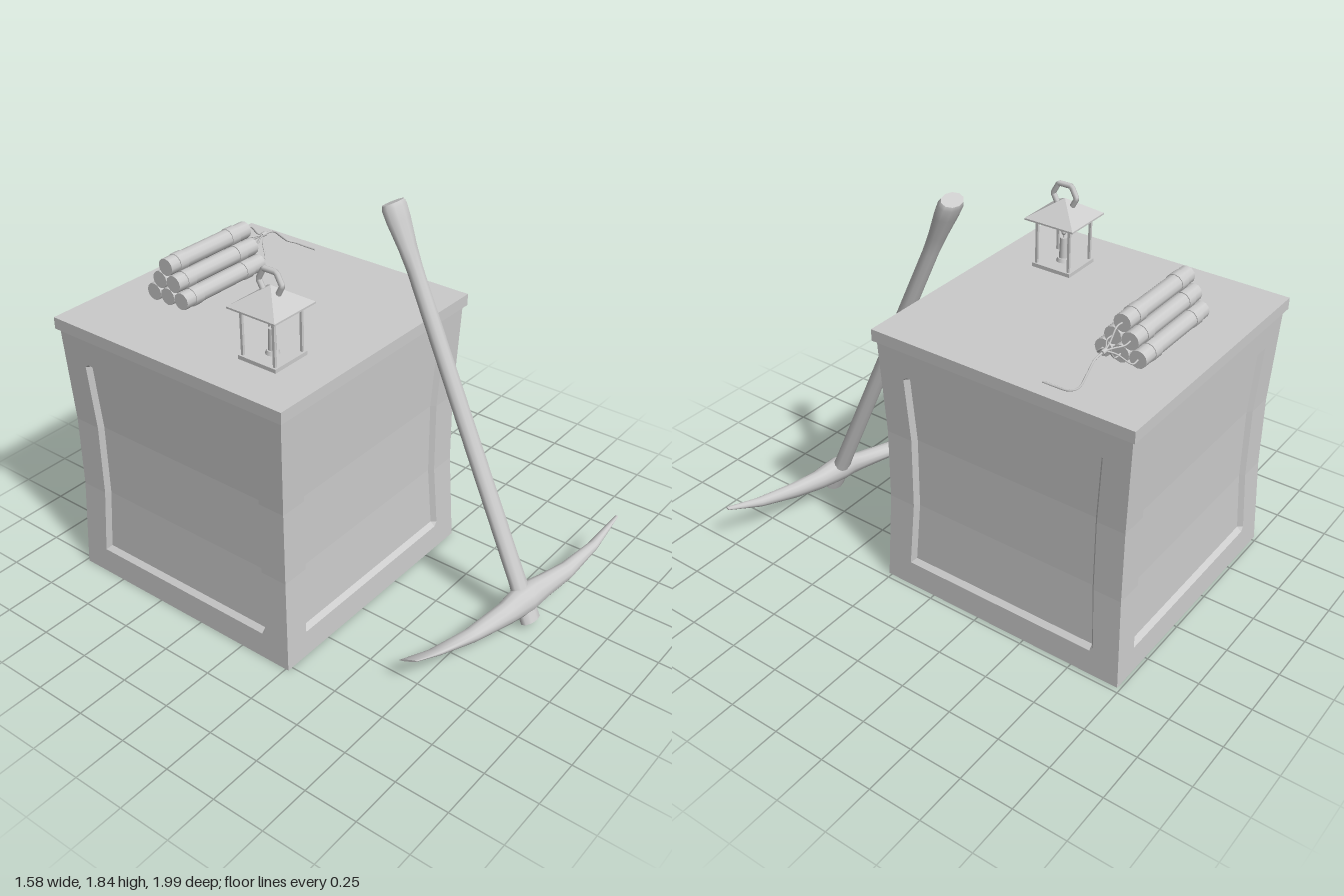
import * as THREE from 'three';

const grey = new THREE.MeshStandardMaterial({ color: 0xcccccc });
const flat = new THREE.MeshStandardMaterial({ color: 0xcccccc, flatShading: true });
const both = new THREE.MeshStandardMaterial({ color: 0xcccccc, flatShading: true, side: THREE.DoubleSide });
const V = (x, y, z) => new THREE.Vector3(x, y, z);

function add(parent, name, geo, mat, x = 0, y = 0, z = 0) {
  const m = new THREE.Mesh(geo, mat);
  m.name = name;
  m.position.set(x, y, z);
  parent.add(m);
  return m;
}

function group(parent, name, x = 0, y = 0, z = 0) {
  const g = new THREE.Group();
  g.name = name;
  g.position.set(x, y, z);
  parent.add(g);
  return g;
}

function buffer(pos, idx) {
  const g = new THREE.BufferGeometry();
  g.setAttribute('position', new THREE.Float32BufferAttribute(pos, 3));
  g.setIndex(idx);
  g.computeVertexNormals();
  return g;
}

// Skin over elliptical rings [centre, radius along u, radius along v], closed at both ends
function loft(rings, u, v, sides) {
  const pos = [], idx = [];
  const ring = ([c, ru, rv]) => {
    for (let j = 0; j < sides; j++) {
      const a = ((j + 0.5) / sides) * Math.PI * 2;
      const p = c.clone().addScaledVector(u, ru * Math.cos(a)).addScaledVector(v, rv * Math.sin(a));
      pos.push(p.x, p.y, p.z);
    }
  };
  rings.forEach(ring);
  for (let i = 0; i < rings.length - 1; i++) {
    for (let j = 0; j < sides; j++) {
      const a = i * sides + j, b = i * sides + (j + 1) % sides;
      idx.push(a, b, b + sides, a, b + sides, a + sides);
    }
  }
  [rings[0], rings[rings.length - 1]].forEach((r, end) => {
    const s = pos.length / 3;
    ring(r);
    pos.push(r[0].x, r[0].y, r[0].z);
    for (let j = 0; j < sides; j++) {
      const a = s + j, b = s + (j + 1) % sides;
      if (end) idx.push(a, b, s + sides);
      else idx.push(b, a, s + sides);
    }
  });
  return buffer(pos, idx);
}

// One crate side: a waisted frame around a recessed panel
function crateSide() {
  const ys = [0, 0.125, 0.145, 0.22, 0.32, 0.45, 0.8, 0.93, 1.03, 1.11, 1.125, 1.26];
  const pos = [], idx = [], cols = 6;
  ys.forEach((y, r) => {
    const t = Math.min(1, Math.max(0, (Math.abs(y - 0.63) - 0.17) / 0.46));
    const w = 0.606 + 0.019 * t;
    const a = 0.474 + 0.022 * Math.min(1, t * 1.3);
    const sunk = r > 1 && r < ys.length - 2;
    [-w, -a, -a + 0.018, a - 0.018, a, w].forEach((x, c) => {
      pos.push(x, y, sunk && (c === 2 || c === 3) ? w - 0.022 : w);
    });
  });
  for (let r = 0; r < ys.length - 1; r++) {
    for (let c = 0; c < cols - 1; c++) {
      const i = r * cols + c;
      idx.push(i, i + 1, i + 1 + cols, i, i + 1 + cols, i + cols);
    }
  }
  return buffer(pos, idx);
}

function buildCrate(root) {
  const g = group(root, 'crate', -0.15, 0, -0.36);
  const side = crateSide();
  for (let i = 0; i < 4; i++) add(g, 'crateSide', side, flat).rotation.y = i * Math.PI / 2;
  add(g, 'crateBottom', new THREE.PlaneGeometry(1.25, 1.25), flat).rotation.x = Math.PI / 2;
  add(g, 'crateLid', new THREE.BoxGeometry(1.28, 0.055, 1.28), flat, 0, 1.2875, 0);
}

function buildPickaxe(root) {
  const g = group(root, 'pickaxe');
  const foot = V(0.123, 0.03, 0.927), top = V(0.148, 1.82, 0.107);
  const dir = top.clone().sub(foot).normalize();
  const u = V(1, 0, 0).addScaledVector(dir, -dir.x).normalize();
  const v = dir.clone().cross(u);
  // Handle: flared grip end and a wider foot below the head
  const shaft = [[0, 0.056, 0.04], [0.05, 0.056, 0.04], [0.1, 0.047, 0.036], [0.5, 0.044, 0.034],
    [0.85, 0.04, 0.033], [0.9, 0.049, 0.036], [0.96, 0.067, 0.044], [0.99, 0.07, 0.046], [1, 0.062, 0.04]];
  add(g, 'pickHandle', loft(shaft.map(([t, a, b]) => [foot.clone().lerp(top, t), a, b]), u, v, 10), grey);
  // Head: flat chisel at one end, point at the other
  const head = [[-0.54, 0.145, 0.727, 0.005, 0.05], [-0.4, 0.113, 0.765, 0.015, 0.044],
    [-0.2, 0.1, 0.82, 0.034, 0.041], [0, 0.114, 0.868, 0.054, 0.045], [0.07, 0.128, 0.882, 0.065, 0.055],
    [0.125, 0.13, 0.89, 0.068, 0.06], [0.18, 0.13, 0.896, 0.065, 0.055], [0.26, 0.128, 0.908, 0.055, 0.046],
    [0.4, 0.136, 0.938, 0.043, 0.037], [0.6, 0.175, 0.966, 0.024, 0.025], [0.785, 0.243, 0.982, 0.005, 0.01]];
  const up = V(0, dir.y, dir.z).normalize();
  add(g, 'pickHead', loft(head.map(([x, y, z, h, w]) => [V(x, y, z), h, w]), up, V(1, 0, 0).cross(up), 12), grey);
}

function buildLantern(root) {
  const g = group(root, 'lantern', -0.476, 1.315, -0.03);
  add(g, 'lanternBase', new THREE.BoxGeometry(0.2, 0.018, 0.2), flat, 0, 0.009, 0);
  for (const x of [-1, 1]) for (const z of [-1, 1]) {
    add(g, 'lanternPost', new THREE.BoxGeometry(0.012, 0.22, 0.012), flat, x * 0.085, 0.122, z * 0.085);
  }
  for (let i = 0; i < 4; i++) {
    const a = i * Math.PI / 2;
    const rail = add(g, 'lanternRail', new THREE.BoxGeometry(0.182, 0.012, 0.012), flat,
      0.085 * Math.sin(a), 0.226, 0.085 * Math.cos(a));
    rail.rotation.y = a;
  }
  // Pyramid roof with a thin eave
  add(g, 'lanternEave', new THREE.BoxGeometry(0.254, 0.008, 0.254), flat, 0, 0.236, 0);
  add(g, 'lanternRoof', new THREE.ConeGeometry(0.127 * Math.SQRT2, 0.085, 4), flat, 0, 0.282, 0).rotation.y = Math.PI / 4;
  // Faceted carrying loop
  const loop = new THREE.CurvePath();
  const pts = [[-0.036, 0.288], [-0.062, 0.335], [-0.033, 0.388], [0.033, 0.388], [0.062, 0.335], [0.036, 0.288]]
    .map(([z, y]) => V(0, y, z));
  for (let i = 0; i < pts.length - 1; i++) loop.add(new THREE.LineCurve3(pts[i], pts[i + 1]));
  add(g, 'lanternLoop', new THREE.TubeGeometry(loop, 30, 0.013, 8), grey);
  // Candle
  add(g, 'candleDish', new THREE.CylinderGeometry(0.026, 0.032, 0.018, 12), grey, 0, 0.026, 0);
  add(g, 'candle', new THREE.CylinderGeometry(0.016, 0.019, 0.1, 12), grey, 0, 0.083, 0);
  add(g, 'wick', new THREE.CylinderGeometry(0.003, 0.003, 0.02, 6), grey, 0, 0.14, 0);
  const flame = [[0, 0], [0.009, 0.008], [0.012, 0.018], [0.006, 0.034], [0, 0.048]].map(p => new THREE.Vector2(...p));
  add(g, 'flame', new THREE.LatheGeometry(flame, 10), grey, 0, 0.142, 0);
}

function buildSticks(root) {
  const g = group(root, 'stickBundle', 0, 1.315, -0.693);
  const wire = (name, pts, r) => add(g, name,
    new THREE.TubeGeometry(new THREE.CatmullRomCurve3(pts), 20, r, 6), grey);
  const knot = V(0.225, 0.112, 0);
  // Six sticks in a pyramid, each with two bands and a fuse
  for (let row = 0; row < 3; row++) for (let k = 0; k < 3 - row; k++) {
    const y = 0.041 + row * 0.07, z = (k - (2 - row) / 2) * 0.081;
    const lay = (name, r, len, x) => {
      add(g, name, new THREE.CylinderGeometry(r, r, len, 12), grey, x, y, z).rotation.z = Math.PI / 2;
    };
    lay('stick', 0.04, 0.51, -0.15);
    lay('band', 0.0435, 0.05, -0.325);
    lay('band', 0.0435, 0.05, 0.008);
    wire('fuse', [V(0.1, y, z), V(0.145, y, z), V(0.19, y + (knot.y - y) * 0.7, z * 0.4), knot], 0.004);
  }
  add(g, 'fuseKnot', new THREE.CylinderGeometry(0.011, 0.011, 0.028, 8), grey, knot.x + 0.008, knot.y, 0).rotation.z = Math.PI / 2;
  wire('mainFuse', [knot, V(0.3, 0.105, 0), V(0.35, 0.065, 0), V(0.395, 0.025, 0.006),
    V(0.418, 0.015, 0.035), V(0.42, 0.012, 0.09), V(0.42, 0.012, 0.155)], 0.005);
}

export function createModel() {
  const root = new THREE.Group();
  root.name = 'miningCrate';
  buildCrate(root);
  buildPickaxe(root);
  buildLantern(root);
  buildSticks(root);
  return root;
}
